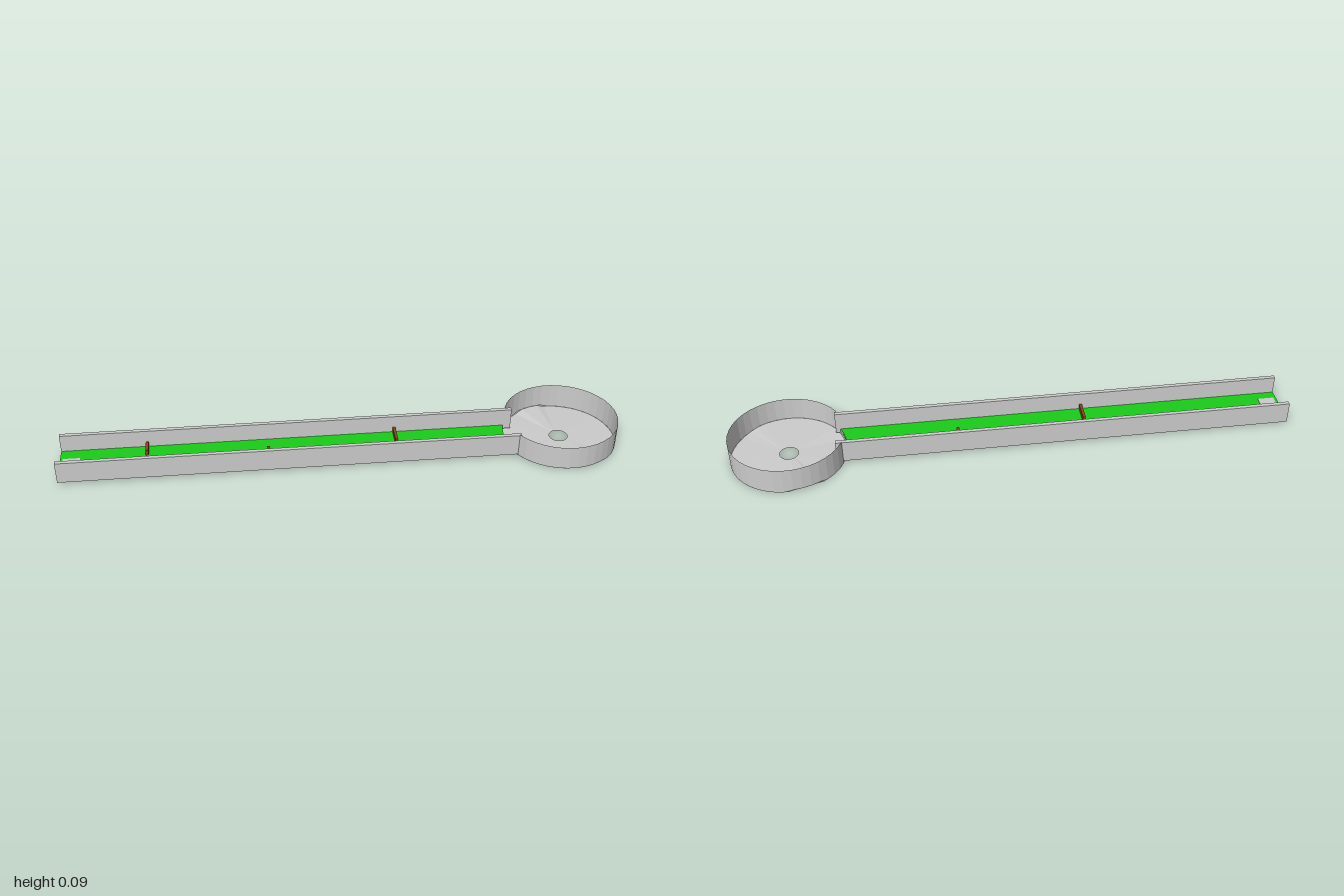
import * as THREE from 'three';

const CX = 0.795, R = 0.204, HOLE = 0.033;
const Z0 = -0.075, Z1 = 0.105, WALL = 0.015;

const paint = (color, thin = false) => new THREE.MeshStandardMaterial({
  color, flatShading: true, side: thin ? THREE.DoubleSide : THREE.FrontSide,
});

// Distance from the round green's centre to its lane-side edge at a given z
const chord = (z) => Math.sqrt(R * R - z * z);

// Height of the slightly uneven green's edge
function rimHeight(x, z) {
  const front = THREE.MathUtils.smoothstep(z, 0.07, 0.11) * (1 - THREE.MathUtils.smoothstep(x, 0.1, 0.17));
  const back = z < -0.17 && x < 0 ? 1 : 0;
  return 0.007 * Math.max(front, back);
}

export function createModel() {
  const model = new THREE.Group();
  const grey = paint(0xcccccc), greyThin = paint(0xcccccc, true);
  const turf = paint(0x1acc1a), wood = paint(0x8b4513);

  function add(name, geometry, material) {
    const mesh = new THREE.Mesh(geometry, material);
    mesh.name = name;
    model.add(mesh);
    return mesh;
  }
  function box(name, x0, x1, y0, y1, z0, z1, material) {
    const mesh = add(name, new THREE.BoxGeometry(x1 - x0, y1 - y0, z1 - z0), material);
    mesh.position.set((x0 + x1) / 2, (y0 + y1) / 2, (z0 + z1) / 2);
  }

  // Lane slab whose far end follows the round green
  function laneSlab(name, y0, y1, z0, z1, material) {
    const shape = new THREE.Shape();
    shape.moveTo(-1, -z1);
    for (let i = 0; i <= 10; i++) {
      const z = THREE.MathUtils.lerp(z1, z0, i / 10);
      shape.lineTo(CX - chord(z), -z);
    }
    shape.lineTo(-1, -z0);
    const geo = new THREE.ExtrudeGeometry(shape, { depth: y1 - y0, bevelEnabled: false });
    geo.rotateX(-Math.PI / 2).translate(0, y0, 0);
    add(name, geo, material);
  }
  laneSlab('laneBase', 0.01, 0.021, Z0 + 0.001, Z1 - 0.001, grey);
  laneSlab('laneTurf', 0.021, 0.025, Z0 + WALL, Z1 - WALL, turf);

  // Side walls
  box('backWall', -1, 0.628, 0.01, 0.09, Z0, Z0 + WALL, grey);
  box('frontWall', -1, 0.628, 0.01, 0.09, Z1 - WALL, Z1, grey);

  // Tee mat
  box('teeMat', -0.99, -0.93, 0.025, 0.027, -0.01, 0.053, grey);

  // Low barriers reaching in from alternate walls
  for (const [x, z0, z1] of [[-0.695, -0.06, -0.005], [-0.265, 0.012, 0.09], [0.195, -0.06, 0.015]])
    box('barrier', x - 0.005, x + 0.005, 0.025, 0.045, z0, z1, wood);

  // Round green with a hole, its edge slightly uneven
  const floor = new THREE.RingGeometry(HOLE, R, 40, 1).rotateX(-Math.PI / 2);
  const fp = floor.attributes.position;
  for (let i = 0; i < fp.count; i++) {
    const x = fp.getX(i), z = fp.getZ(i);
    fp.setY(i, Math.hypot(x, z) > 0.1 ? rimHeight(x, z) : 0.005);
  }
  floor.translate(CX, 0, 0);
  add('greenFloor', floor, greyThin);

  // Thin curved wall, open where the lane enters
  const start = Math.atan2(-chord(Z1), Z1);
  const end = Math.atan2(-chord(Z0), Z0);
  const rim = new THREE.CylinderGeometry(R, R, 1, 34, 1, true, start, Math.PI * 2 + end - start);
  const rp = rim.attributes.position;
  for (let i = 0; i < rp.count; i++)
    rp.setY(i, rp.getY(i) > 0 ? 0.094 : rimHeight(rp.getX(i), rp.getZ(i)));
  rim.translate(CX, 0, 0);
  add('greenWall', rim, greyThin);

  return model;
}
